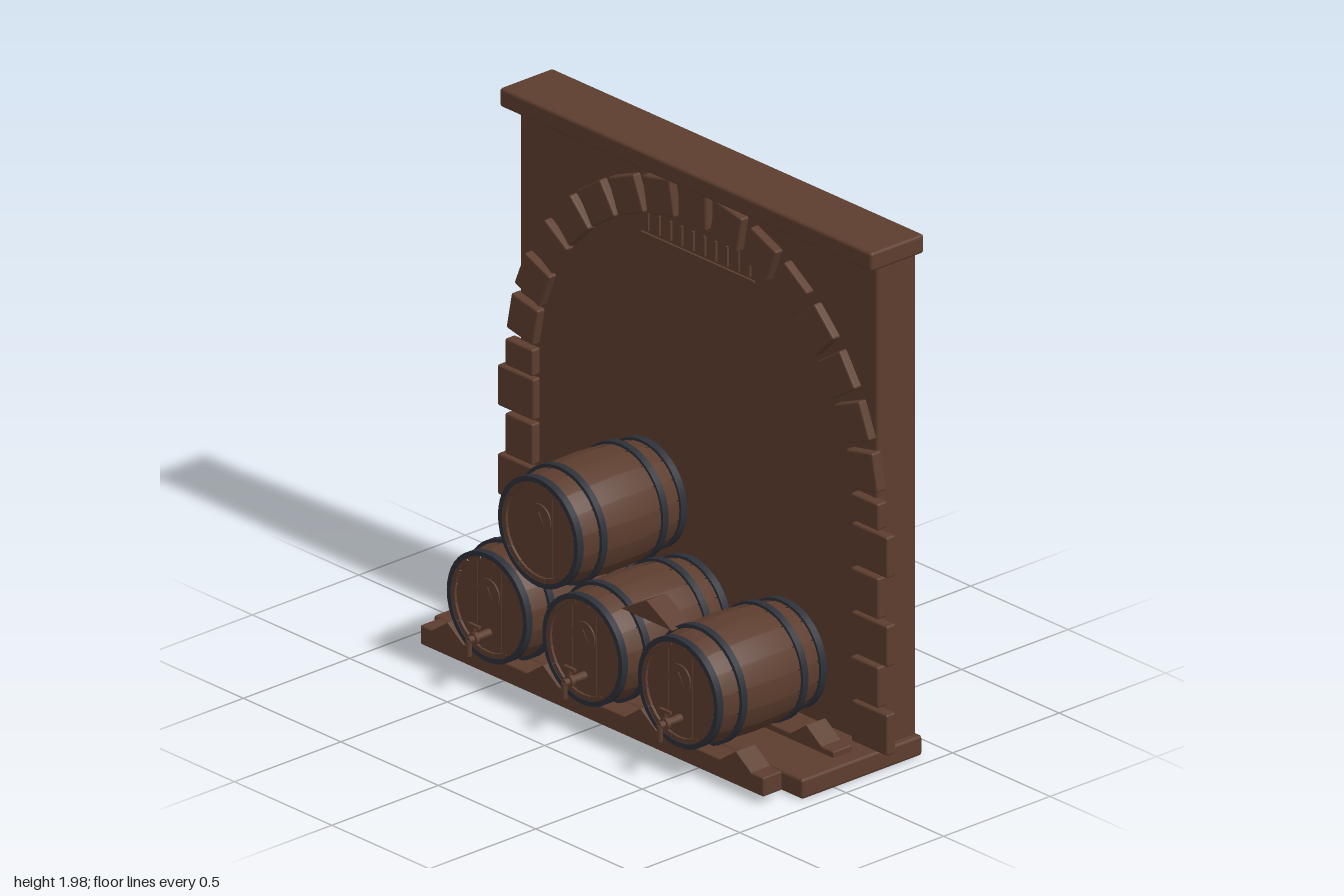
import * as THREE from 'three';
import { toCreasedNormals } from 'three/addons/utils/BufferGeometryUtils.js';
import { RoundedBoxGeometry } from 'three/addons/geometries/RoundedBoxGeometry.js';

const wood = new THREE.MeshStandardMaterial({ color: 0x5c3d2e });
wood.name = 'brown';
const iron = new THREE.MeshStandardMaterial({ color: 0x2d3038 });
iron.name = 'darkIron';

function add(parent, name, geometry, material, x = 0, y = 0, z = 0) {
  const mesh = new THREE.Mesh(geometry, material);
  mesh.name = name;
  mesh.position.set(x, y, z);
  parent.add(mesh);
  return mesh;
}

// Softly bevelled block given by its limits
function block(parent, name, x0, x1, y0, y1, z0, z1, r = 0.008) {
  const g = new RoundedBoxGeometry(x1 - x0, y1 - y0, z1 - z0, 2, r);
  return add(parent, name, g, wood, (x0 + x1) / 2, (y0 + y1) / 2, (z0 + z1) / 2);
}

// Triangular chock, extruded along z
function chock(parent, name, x, y, z, halfWidth, height) {
  const s = new THREE.Shape([
    new THREE.Vector2(-halfWidth, 0), new THREE.Vector2(halfWidth, 0), new THREE.Vector2(0, height)]);
  const g = new THREE.ExtrudeGeometry(s, { depth: 0.09, bevelEnabled: false });
  add(parent, name, g, wood, x, y, z);
}

const LENGTH = 0.255; // half length of a barrel
const STAVES = 16;
const bulge = t => 0.19 + 0.027 * (1 - t * t);

// Lathe around the z axis from [radius, z] pairs
function latheZ(pairs, segments, start = 0, length = Math.PI * 2) {
  const g = new THREE.LatheGeometry(pairs.map(p => new THREE.Vector2(p[0], p[1])), segments, start, length);
  return toCreasedNormals(g.rotateX(Math.PI / 2), 0.6);
}

function hoop(parent, z, width, inner, outer) {
  const a = z - width / 2, b = z + width / 2;
  add(parent, 'hoop', latheZ([[inner, a], [outer, a], [outer, b], [inner, b], [inner, a]], 40), iron);
}

// Head board: the slice of a disc between two x values
function headBoard(x0, x1, radius) {
  const pts = [];
  for (let i = 0; i <= 8; i++) {
    const x = x0 + (x1 - x0) * i / 8;
    pts.push(new THREE.Vector2(x, -Math.sqrt(Math.max(0, radius * radius - x * x))));
  }
  for (let i = 8; i >= 0; i--) pts.push(new THREE.Vector2(pts[i].x, -pts[i].y));
  return new THREE.ExtrudeGeometry(new THREE.Shape(pts), { depth: 0.02, bevelEnabled: false });
}

function makeTap() {
  const tap = new THREE.Group();
  tap.name = 'tap';
  const pipe = new THREE.CylinderGeometry(0.013, 0.016, 0.11, 12).rotateX(Math.PI / 2);
  add(tap, 'tapPipe', pipe, wood, 0, 0, 0.055);
  add(tap, 'tapCollar', new THREE.CylinderGeometry(0.022, 0.022, 0.016, 12).rotateX(Math.PI / 2), wood, 0, 0, 0.08);
  add(tap, 'tapSpout', new THREE.CylinderGeometry(0.011, 0.01, 0.06, 12), wood, 0, -0.03, 0.105);
  add(tap, 'tapStem', new THREE.CylinderGeometry(0.006, 0.006, 0.045, 8), wood, 0, 0.025, 0.08);
  add(tap, 'tapHandle', new THREE.BoxGeometry(0.055, 0.01, 0.012), wood, 0, 0.047, 0.08);
  return tap;
}

function makeBarrel(x, y, z, hasTap) {
  const barrel = new THREE.Group();
  barrel.name = 'barrel';
  // Staves with narrow joints over a slightly smaller core
  const outline = [[0.168, -LENGTH + 0.03], [0.168, -LENGTH]];
  const core = [];
  for (let i = 0; i <= 10; i++) {
    const t = -1 + i / 5;
    outline.push([bulge(t), t * LENGTH]);
    core.push([bulge(t) - 0.008, t * (LENGTH - 0.01)]);
  }
  outline.push([0.168, LENGTH], [0.168, LENGTH - 0.03]);
  const step = Math.PI * 2 / STAVES;
  for (let i = 0; i < STAVES; i++)
    add(barrel, 'stave', latheZ(outline, 2, (i + 0.5) * step + 0.01, step - 0.02), wood);
  add(barrel, 'core', latheZ(core, 32), wood);

  for (const s of [-1, 1]) {
    hoop(barrel, s * 0.243, 0.028, 0.186, 0.205);
    hoop(barrel, s * 0.143, 0.026, 0.2, 0.22);
    // Three boards closing each end
    for (const [x0, x1] of [[-0.17, -0.062], [-0.06, 0.06], [0.062, 0.17]])
      add(barrel, 'headBoard', headBoard(x0, x1, 0.17), wood, 0, 0, s * 0.235 - 0.01);
  }
  // Round plaque with a plain triangular ornament
  const disc = new THREE.CylinderGeometry(0.056, 0.056, 0.008, 28).rotateX(Math.PI / 2);
  add(barrel, 'plaque', disc, wood, 0, 0.05, 0.247);
  const tri = new THREE.CylinderGeometry(0.034, 0.034, 0.006, 3).rotateX(-Math.PI / 2);
  add(barrel, 'plaqueOrnament', tri, wood, 0, 0.045, 0.253);
  if (hasTap) {
    const tap = makeTap();
    tap.position.set(0, -0.098, 0.235);
    barrel.add(tap);
  }
  barrel.position.set(x, y, z);
  return barrel;
}

export function createModel() {
  const model = new THREE.Group();
  model.name = 'cellarBarrelAlcove';

  // Masonry shell
  block(model, 'base', -0.95, 0.945, 0, 0.077, -0.41, 0.155, 0.012);
  block(model, 'wall', -0.917, 0.917, 0.07, 1.905, -0.405, -0.222, 0.01);
  block(model, 'capstone', -0.955, 0.955, 1.91, 1.982, -0.41, -0.16, 0.012);

  // Quoins alternating wide and narrow on both sides
  for (const s of [-1, 1]) {
    for (let i = 0; i < 6; i++) {
      const outer = i % 2 ? 0.957 : 1;
      const y0 = 0.078 + i * 0.1685;
      const y1 = i === 5 ? 1.022 : y0 + 0.156;
      const a = s * 0.815, b = s * outer;
      block(model, 'quoin', Math.min(a, b), Math.max(a, b), y0, y1, -0.235, i % 2 ? -0.188 : -0.192);
    }
  }

  // Arch stones
  for (let i = 1; i < 16; i++) {
    const a = i * Math.PI / 16;
    const g = new RoundedBoxGeometry(0.144, 0.14, 0.045, 2, 0.008);
    const stone = add(model, 'archStone', g, wood, Math.cos(a) * 0.888, 0.947 + Math.sin(a) * 0.888, -0.212);
    stone.rotation.z = a - Math.PI / 2;
  }

  // Raised ornamental strip with plain pegs under the arch
  add(model, 'ornamentBar', new THREE.BoxGeometry(0.58, 0.008, 0.012), wood, 0, 1.638, -0.219);
  for (let i = 0; i < 10; i++)
    add(model, 'ornamentPeg', new THREE.BoxGeometry(0.01, 0.075, 0.012), wood, -0.255 + i * 0.058, 1.69, -0.219);

  // Cradle beams with chocks between the barrels
  for (const z of [-0.14, 0.19]) {
    block(model, 'cradleBeam', -0.88, 0.88, 0.028, 0.1, z, z + 0.09, 0.006);
    for (const x of [-0.74, -0.25, 0.25, 0.74]) chock(model, 'chock', x, 0.095, z, 0.085, 0.06);
  }
  chock(model, 'upperChock', 0.25, 0.485, 0.16, 0.13, 0.072);

  // Three barrels below, one stacked above
  for (const x of [-0.49, 0, 0.49]) model.add(makeBarrel(x, 0.308, 0.067, true));
  model.add(makeBarrel(-0.246, 0.668, 0.05, false));
  return model;
}
